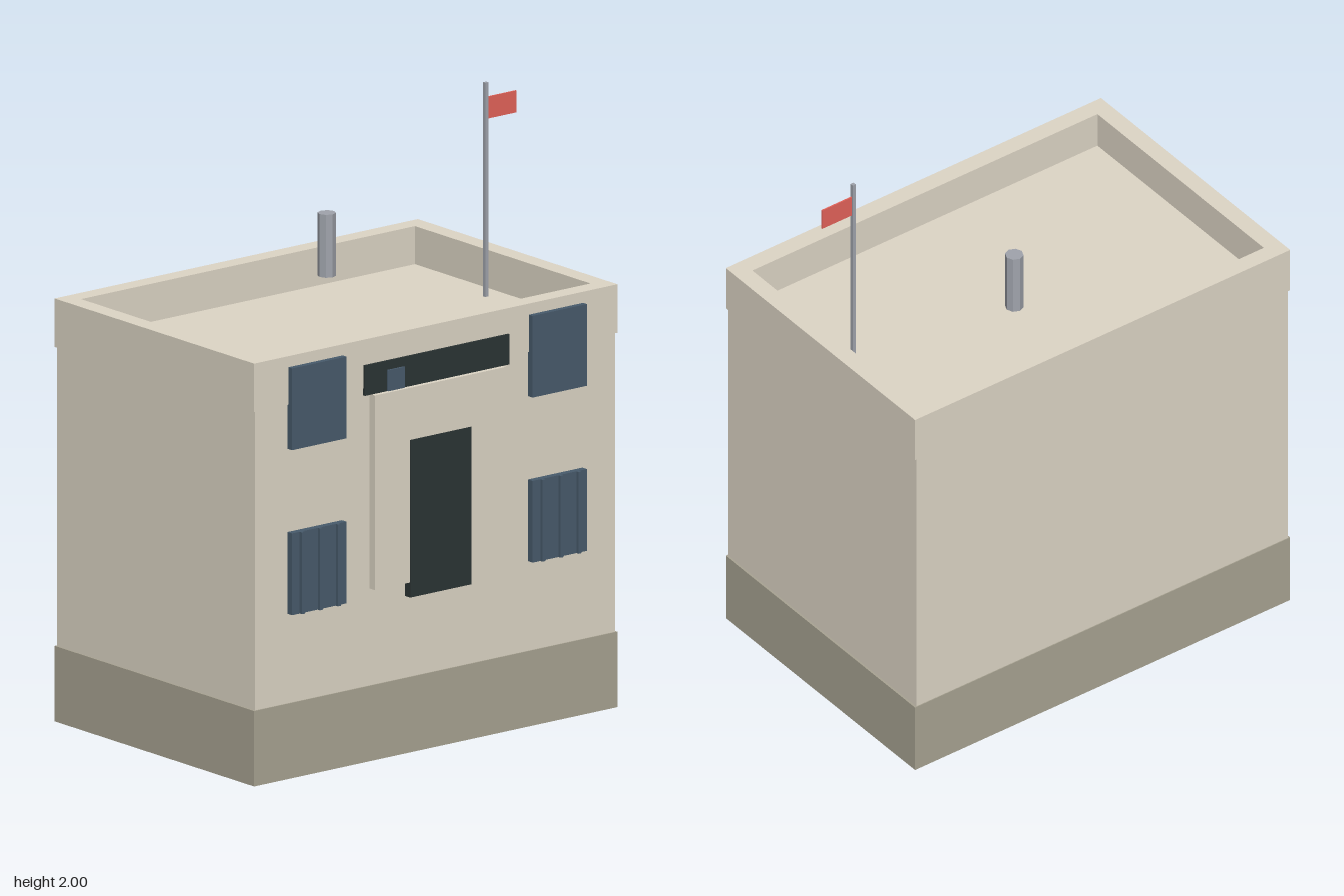
import * as THREE from 'three';

function material(name, color) {
  const m = new THREE.MeshStandardMaterial({ color });
  m.name = name;
  return m;
}

export function createModel() {
  const wall = material('sandPlaster', 0xded6c6);
  const stone = material('plinthStone', 0xa9a493);
  const dark = material('darkPanel', 0x2b3434);
  const glass = material('blueGlass', 0x485b6c);
  const metal = material('greyMetal', 0xa0a4ac);
  const red = material('redCloth', 0xe4635a);

  const model = new THREE.Group();
  model.name = 'house';

  const add = (name, geometry, mat, x = 0, y = 0, z = 0, parent = model) => {
    const mesh = new THREE.Mesh(geometry, mat);
    mesh.name = name;
    mesh.position.set(x, y, z);
    parent.add(mesh);
    return mesh;
  };
  // Box given by its minimum and maximum corners
  const box = (name, mat, [x0, y0, z0], [x1, y1, z1], parent) =>
    add(name, new THREE.BoxGeometry(x1 - x0, y1 - y0, z1 - z0), mat,
      (x0 + x1) / 2, (y0 + y1) / 2, (z0 + z1) / 2, parent);

  // Plinth and walls, the top of the walls being the sunken roof
  box('plinth', stone, [-0.755, 0, -0.522], [0.755, 0.252, 0.492]);
  box('walls', wall, [-0.748, 0.24, -0.519], [0.748, 1.285, 0.488]);

  // Parapet ring around the roof
  const rectangle = (Path, x0, z0, x1, z1) => {
    const p = new Path();
    p.moveTo(x0, -z1).lineTo(x1, -z1).lineTo(x1, -z0).lineTo(x0, -z0).closePath();
    return p;
  };
  const ring = rectangle(THREE.Shape, -0.755, -0.522, 0.755, 0.492);
  ring.holes.push(rectangle(THREE.Path, -0.694, -0.462, 0.694, 0.43));
  const parapet = new THREE.ExtrudeGeometry(ring, { depth: 0.162, bevelEnabled: false });
  parapet.rotateX(-Math.PI / 2);
  add('parapet', parapet, wall, 0, 1.25, 0);

  // Windows on both sides of the entrance, barred on the lower floor
  for (const [side, cx] of [['right', -0.5], ['left', 0.5]]) {
    box(`${side}UpperWindow`, glass, [cx - 0.113, 1.102, 0.485], [cx + 0.113, 1.375, 0.511]);
    const lower = new THREE.Group();
    lower.name = `${side}LowerWindow`;
    model.add(lower);
    box('pane', glass, [cx - 0.113, 0.551, 0.485], [cx + 0.113, 0.824, 0.511], lower);
    for (const offset of [-0.075, 0, 0.075])
      box('bar', glass, [cx + offset - 0.006, 0.551, 0.505], [cx + offset + 0.006, 0.824, 0.522], lower);
  }

  // Entrance
  box('doorSurround', wall, [-0.273, 0.576, 0.485], [0.273, 1.226, 0.516]);
  box('door', dark, [-0.127, 0.526, 0.492], [0.127, 1.052, 0.518]);
  box('signBoard', dark, [-0.3, 1.226, 0.485], [0.3, 1.327, 0.5]);
  box('signPanel', glass, [-0.21, 1.227, 0.499], [-0.141, 1.297, 0.507]);

  // Roof fittings
  const pipe = new THREE.CylinderGeometry(0.03, 0.03, 0.21, 8).toNonIndexed();
  pipe.computeVertexNormals();
  add('chimneyPipe', pipe, metal, 0.126, 1.505, -0.216);
  box('flagPole', metal, [0.619, 1.28, -0.024], [0.631, 2, -0.012]);
  box('flag', red, [0.631, 1.878, -0.02], [0.751, 1.951, -0.015]);

  return model;
}
